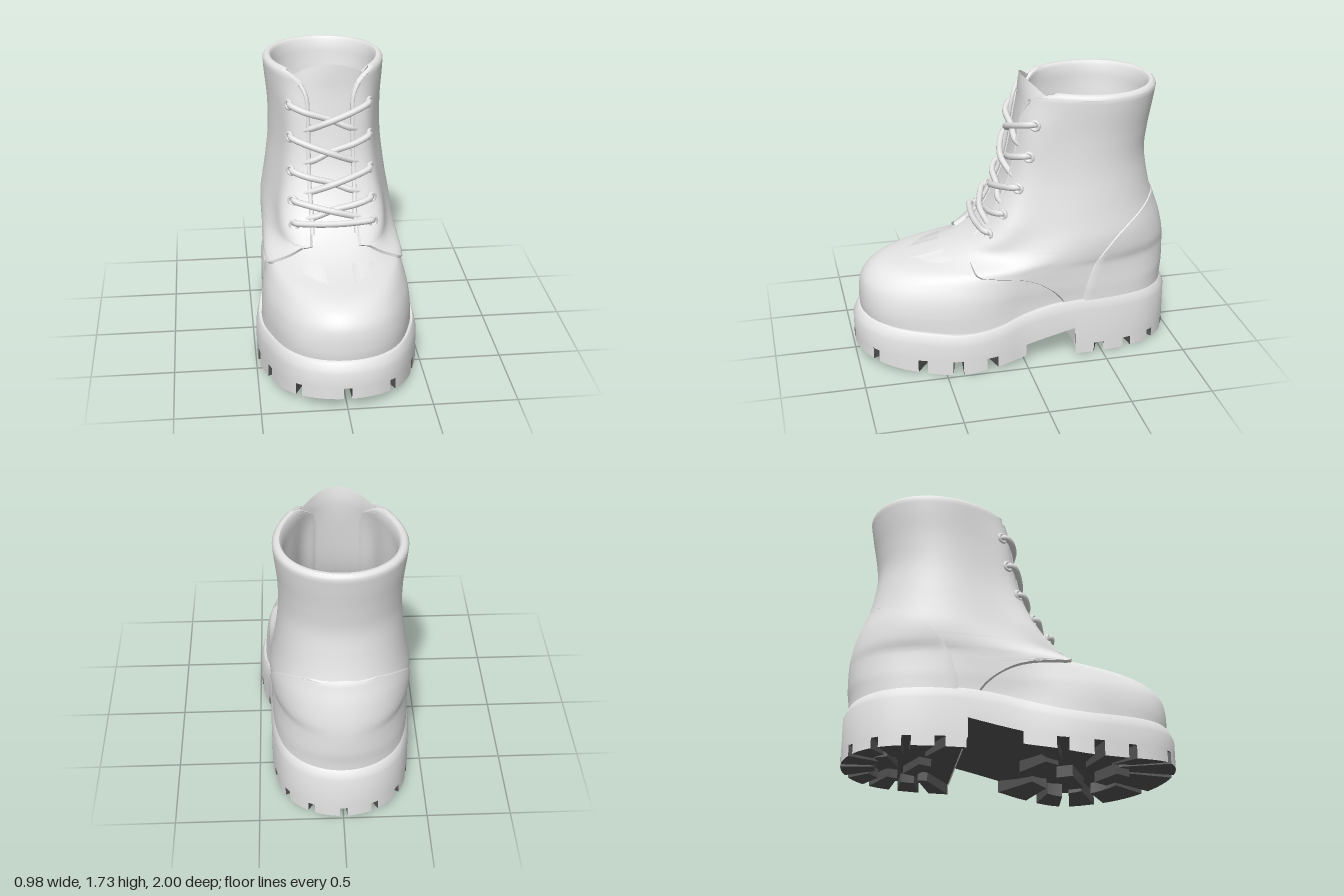
import * as THREE from 'three';
import { mergeVertices, toCreasedNormals } from 'three/addons/utils/BufferGeometryUtils.js';

// Smooth lookup through [key, value] pairs
function curve(pts) {
  const slope = (i) => {
    const a = pts[Math.max(i - 1, 0)], b = pts[Math.min(i + 1, pts.length - 1)];
    return (b[1] - a[1]) / (b[0] - a[0]);
  };
  return (x) => {
    if (x <= pts[0][0]) return pts[0][1];
    for (let i = 0; i < pts.length - 1; i++) {
      const [x0, y0] = pts[i], [x1, y1] = pts[i + 1];
      if (x > x1) continue;
      const h = x1 - x0, t = (x - x0) / h, t2 = t * t, t3 = t2 * t;
      return y0 * (2 * t3 - 3 * t2 + 1) + y1 * (3 * t2 - 2 * t3)
        + h * (slope(i) * (t3 - 2 * t2 + t) + slope(i + 1) * (t3 - t2));
    }
    return pts[pts.length - 1][1];
  };
}

// Surface from rows and columns of points
function grid(nu, nv, fn, crease = 0.8) {
  const pos = [], idx = [];
  for (let j = 0; j <= nv; j++) for (let i = 0; i <= nu; i++) pos.push(...fn(i, j));
  for (let j = 0; j < nv; j++) for (let i = 0; i < nu; i++) {
    const a = j * (nu + 1) + i, b = a + 1, c = b + nu + 1, d = a + nu + 1;
    idx.push(a, b, c, a, c, d);
  }
  const g = new THREE.BufferGeometry();
  g.setAttribute('position', new THREE.Float32BufferAttribute(pos, 3));
  g.setIndex(idx);
  return toCreasedNormals(mergeVertices(g), crease);
}

// Upper: front, back, half width and bluntness of the instep by height
const front = curve([[.25, .95], [.35, .96], [.47, .95], [.53, .92], [.58, .86], [.61, .77], [.63, .61], [.66, .46],
  [.71, .34], [.77, .25], [.83, .19], [.95, .12], [1.08, .06], [1.2, .025], [1.4, -.01], [1.6, -.035], [1.75, -.035]]);
const back = curve([[.25, -.945], [.4, -.95], [.5, -.96], [.65, -.955], [.8, -.925], [.97, -.87], [1.1, -.84],
  [1.25, -.82], [1.4, -.835], [1.55, -.86], [1.68, -.88]]);
const width = curve([[.25, .475], [.45, .463], [.55, .443], [.65, .42], [.8, .394], [1, .362], [1.2, .34], [1.4, .34],
  [1.6, .358], [1.75, .367]]);
const blunt = curve([[.62, 0], [.68, .3], [.75, .8], [.85, 1], [1, .85], [1.2, .7], [1.45, .6], [1.6, .25], [1.7, 0]]);
// Sole: roundness, top edge, core underside and lug underside along z
const soleRound = curve([[-1, .65], [-.9, .615], [-.8, .58], [-.65, .525], [-.4, .46], [-.2, .434], [0, .44], [.15, .48],
  [.3, .514], [.45, .537], [.6, .55], [.75, .58], [.88, .625], [1, .68]]);
const soleTop = curve([[-1, .37], [-.4, .385], [-.2, .37], [0, .33], [.2, .28], [.4, .26], [.6, .27], [1, .3]]);
const foreCore = curve([[-.32, .2], [0, .13], [.15, .1], [.4, .09], [.7, .1], [1, .14]]);
const foreLug = curve([[0, .055], [.15, .03], [.4, 0], [.7, .02], [1, .07]]);
const coreY = (z) => (z < -.32 ? .08 : foreCore(z));
const lugY = (z) => (z < -.3 ? .018 : foreLug(z));
const lift = curve([[.5, 0], [.6, .9], [.75, .6], [.9, 0]]);

const middle = (y) => (front(y) + back(y)) / 2;
const half = (y) => (front(y) - back(y)) / 2;
const sideShape = (y, c) => THREE.MathUtils.lerp(soleRound(c) / .51,
  1 - .13 * c + (c > 0 ? blunt(y) * c ** 4 : 0), THREE.MathUtils.smoothstep(y, .34, .82));

// Point on the upper; angle 0 is the front, off pushes outward
function upper(y, a, off = 0) {
  const c = Math.cos(a), s = Math.sin(a);
  return [(width(y) * sideShape(y, c) + off) * s, y + Math.max(off, 0) * lift(y), middle(y) + (half(y) + off) * c];
}
function angleAtX(y, x) {
  let lo = 0, hi = 1.3;
  for (let i = 0; i < 24; i++) {
    const m = (lo + hi) / 2;
    if (upper(y, m)[0] < Math.abs(x)) lo = m; else hi = m;
  }
  return Math.sign(x) * lo;
}
const angleAtZ = (y, z) => Math.acos(THREE.MathUtils.clamp((z - middle(y)) / half(y), -1, 1));
const onUpper = (x, y, off) => new THREE.Vector3(...upper(y, angleAtX(y, x), off));

// Front edges of the side panels and of the heel counter
const panelZ = curve([[.3, -.27], [.4, -.22], [.48, -.14], [.54, -.03], [.57, .1], [.585, .26], [.62, .31], [.72, .31]]);
const gapX = curve([[.7, .14], [.8, .125], [1, .13], [1.5, .13], [1.58, .15], [1.64, .2], [1.668, .27]]);
const panelStart = (y) => (y < .7 ? angleAtZ(y, panelZ(y)) : angleAtX(y, gapX(y)));
const counterZ = curve([[.32, -.35], [.4, -.355], [.5, -.38], [.6, -.42], [.7, -.49], [.8, -.58], [.88, -.69], [.94, -.8],
  [.98, -.89]]);

// Point on the sole outline; angle 0 is the toe
function outline(a, k = 1) {
  const c = Math.cos(a);
  return [k * soleRound(c) * Math.sin(a), k * c];
}

export function createModel() {
  const boot = new THREE.Group();
  boot.name = 'boot';
  const mat = (name, color) => {
    const m = new THREE.MeshStandardMaterial({ color, side: THREE.DoubleSide });
    m.name = name;
    return m;
  };
  const light = mat('lightGrey', 0xe6e6e6), dark = mat('darkGrey', 0x555555);
  const add = (name, geo, m = light) => {
    const mesh = new THREE.Mesh(geo, m);
    mesh.name = name;
    boot.add(mesh);
    return mesh;
  };
  const TAU = Math.PI * 2;

  // Vamp with the toe box
  add('vamp', grid(80, 60, (i, j) => upper(.25 + .59 * j / 60, TAU * i / 80)));

  // Side panels, rolled over the collar into the lining
  const rows = [];
  for (let j = 0; j <= 36; j++) rows.push([.3 + .432 * j / 36, .015, -.006]);
  for (let j = 1; j <= 36; j++) rows.push([.732 + .918 * j / 36, .015, -.015]);
  rows.push([1.664, .008, -.015], [1.676, -.008, -.02], [1.674, -.028, -.02], [1.655, -.04, -.02]);
  for (let j = 1; j <= 16; j++) rows.push([1.655 - 1.205 * j / 16, -.036, -.025]);
  const lining = rows.length - 18;
  add('sidePanels', grid(72, rows.length - 1, (i, j) => {
    const [y, off, edge] = rows[j];
    const s = panelStart(j >= lining ? Math.max(y, .85) : y);
    const u = i === 0 ? 0 : i === 72 ? 1 : .005 + .99 * (i - 1) / 70;
    return upper(y, s + (TAU - 2 * s) * u, i === 0 || i === 72 ? edge : off);
  }));

  // Heel counter
  add('heelCounter', grid(48, 30, (i, j) => {
    const y = .32 + .65 * j / 30, s = angleAtZ(y, counterZ(y));
    const u = i === 0 ? 0 : i === 48 ? 1 : .01 + .98 * (i - 1) / 46;
    return upper(y, s + (TAU - 2 * s) * u, i === 0 || i === 48 || j === 30 ? .01 : .023);
  }));

  // Tongue: outer face, rounded top, inner face
  add('tongue', grid(24, 32, (i, j) => {
    const a = -1 + 2 * i / 24, t = j <= 16 ? j / 16 : (32 - j) / 16;
    const off = j < 16 ? -.015 : j === 16 ? -.024 : -.034;
    return upper(.78 + (.955 - .16 * a * a) * t, a, off);
  }));

  // Insole
  add('insole', grid(48, 1, (i, j) => (j ? [0, .46, middle(.46)] : upper(.46, TAU * i / 48, -.04))), dark);

  // Laces, eyelets and panel edge beads
  const tube = (name, pts, r) => add(name, new THREE.TubeGeometry(new THREE.CatmullRomCurve3(pts), 36, r, 8));
  const eyeletY = [1.48, 1.285, 1.09, .93, .8];
  for (const s of [1, -1]) {
    eyeletY.forEach((y, k) => {
      const p = onUpper(s * .235, y, .018), t = onUpper(s * .25, y, .018).sub(p);
      const ring = add('eyelet', new THREE.TorusGeometry(.026, .011, 8, 16));
      ring.position.copy(p);
      ring.rotation.y = Math.atan2(-t.z * s, t.x * s);
      if (k === 4) return;
      const drop = (y - eyeletY[k + 1]) * .75;
      const over = (s > 0) === (k % 2 === 0) ? .036 : .004;
      tube('crossLace', [[.24, 0, -.01], [.22, 0, .034], [.14, -.2, .034], [0, -.55, over],
        [-.11, -.9, .008], [-.17, -1.05, -.005]].map(([x, f, off]) => onUpper(s * x, y + .005 + f * drop, off)), .02);
    });
    const bead = [];
    for (let y = .76; y <= 1.63; y += .05) bead.push(onUpper(s * (gapX(y) + .006), y, .006));
    tube('panelEdge', bead, .014);
  }
  tube('bottomLace', [[-.24, -.01], [-.22, .036], [-.1, .03], [0, .03], [.1, .03], [.22, .036], [.24, -.01]]
    .map(([x, off]) => onUpper(x, .81, off)), .02);

  // Sole wall and bevelled welt: height and scale of each row
  const angles = [];
  for (let i = 0; i <= 128; i++) angles.push(TAU * i / 128);
  for (const z of [-.319, -.321]) angles.push(Math.acos(z), TAU - Math.acos(z));
  angles.sort((a, b) => a - b);
  add('soleWall', grid(angles.length - 1, 5, (i, j) => {
    const a = angles[i], z = Math.cos(a), t = soleTop(z);
    const [y, k] = [[coreY(z), 1], [t - .07, 1], [t - .045, .99], [t - .01, .972], [t, .96], [t, .82]][j];
    const p = outline(a, k);
    return [p[0], y, p[1]];
  }));

  // Underside, with a sharp step at the heel
  const steps = [-.319, -.321];
  for (let i = 0; i <= 60; i++) steps.push(-Math.cos(Math.PI * i / 60));
  steps.sort((a, b) => a - b);
  add('soleUnderside', grid(1, steps.length - 1, (i, j) => {
    const z = steps[j], p = outline(Math.acos(z));
    return [i ? p[0] : -p[0], coreY(z), z];
  }, .4), dark);
  const breast = add('heelBreast', new THREE.BoxGeometry(.84, .12, .006));
  breast.position.set(0, .14, -.317);

  // Tread lugs around the rim: pale outer face, dark inside
  function lug(a, b, cz, depth, s) {
    const n = 8;
    const section = (i) => {
      const p = outline(a + (b - a) * i / n), q = [p[0] * (1 - depth), p[1] + (cz - p[1]) * depth];
      const top = coreY(p[1]) + .012, low = lugY(p[1]);
      return [[p[0] * s, top, p[1]], [p[0] * s, low, p[1]], [q[0] * s, low + .008, q[1]], [q[0] * s, top + .02, q[1]]];
    };
    add('lugFace', grid(n, 1, (i, j) => section(s > 0 ? i : n - i)[1 - j]));
    add('lugTread', grid(n, 2, (i, j) => section(s > 0 ? i : n - i)[3 - j], .4), dark);
    for (const e of [0, n]) {
      const c = section(e);
      add('lugEnd', grid(1, 1, (i, j) => c[j ? (i ? 2 : 1) : (i ? 3 : 0)]), dark);
    }
  }
  const g = .035;
  const foreCuts = [0, .45, .877, 1.126, 1.35, 1.571 + g];
  const heelCuts = [1.897 - g, 2.06, 2.29, 2.55, 2.84, Math.PI];
  for (const s of [1, -1]) {
    for (let i = 0; i < foreCuts.length - 1; i++) lug(foreCuts[i] + g, foreCuts[i + 1] - g, .35, i % 2 ? .36 : .5, s);
    for (let i = 0; i < heelCuts.length - 1; i++) lug(heelCuts[i] + g, heelCuts[i + 1] - g, -.62, i % 2 ? .36 : .5, s);
  }

  // Centre tread bars
  for (const [x, z, w, d, r] of [[0, .62, .2, .1, .5], [.07, .38, .24, .1, -.5], [-.07, .16, .24, .1, .5],
    [.05, -.55, .2, .08, .4], [-.05, -.74, .2, .08, -.4]]) {
    const bar = add('centreBar', new THREE.BoxGeometry(w, .07, d), dark);
    bar.position.set(x, lugY(z) + .05, z);
    bar.rotation.y = r;
  }
  return boot;
}
